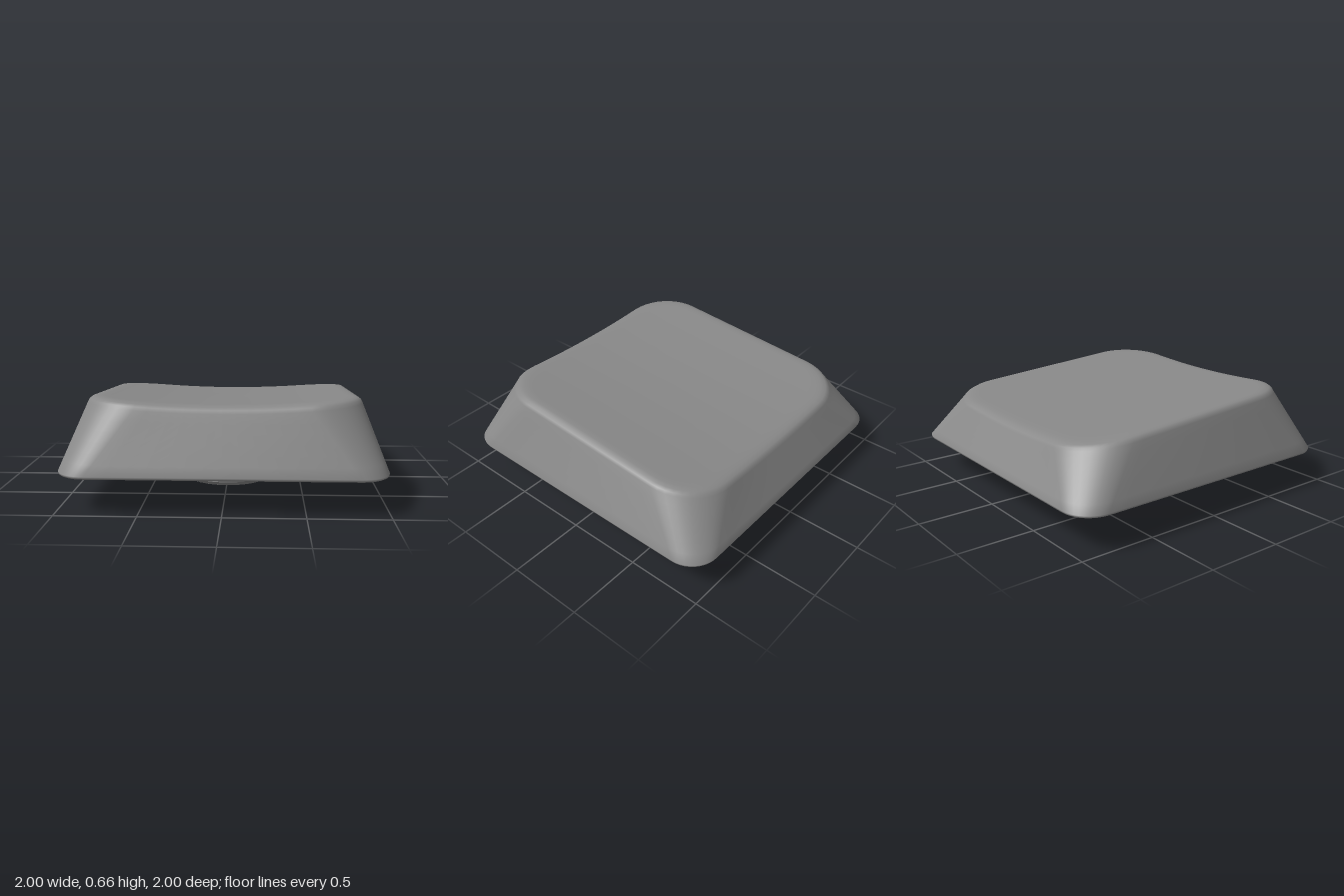
import * as THREE from 'three';

const BASE = 0.217, STEM_TOP = 0.47;
const CORNER = 10, SIDE = 14; // segments per corner and per straight side

// Sloping top with a shallow trough running front to back
const topY = (x, z) => 0.577 + 0.073 * z + 0.038 * (x / 0.75) ** 2;
// Shoulder rounding, a little tighter towards the back
const shoulderY = (drop) => (x, z) => topY(x, z) - drop * (0.87 + 0.15 * z);
// Underside of the top, parallel to its slope
const ceilingY = (x, z) => 0.44 + 0.073 * z;

// Rounded-square ring; y is a number or a function of x and z
function ring(half, r, y) {
  const pts = [], c = half - r;
  const signs = [[1, 1], [-1, 1], [-1, -1], [1, -1]];
  const add = (x, z) => pts.push(new THREE.Vector3(x, typeof y === 'function' ? y(x, z) : y, z));
  signs.forEach(([sx, sz], q) => {
    for (let i = 0; i <= CORNER; i++) {
      const a = (q + i / CORNER) * Math.PI / 2;
      add(sx * c + r * Math.cos(a), sz * c + r * Math.sin(a));
    }
    const end = pts[pts.length - 1].clone();
    const [nx, nz] = signs[(q + 1) % 4];
    const a = (q + 1) * Math.PI / 2;
    const tx = nx * c + r * Math.cos(a), tz = nz * c + r * Math.sin(a);
    for (let i = 1; i < SIDE; i++) {
      const t = i / SIDE;
      add(end.x + (tx - end.x) * t, end.z + (tz - end.z) * t);
    }
  });
  return pts;
}

// Skin over a sequence of closed rings
function loft(rings) {
  const n = rings[0].length, index = [];
  for (let j = 0; j < rings.length - 1; j++) {
    for (let i = 0; i < n; i++) {
      const a = j * n + i, b = j * n + (i + 1) % n;
      index.push(a, a + n, b, b, a + n, b + n);
    }
  }
  const geo = new THREE.BufferGeometry().setFromPoints(rings.flat());
  geo.setIndex(index);
  geo.computeVertexNormals();
  return geo;
}

export function createModel() {
  const group = new THREE.Group();
  const material = new THREE.MeshStandardMaterial({ color: 0x898989 });
  const add = (name, geo, parent = group) => {
    const mesh = new THREE.Mesh(geo, material);
    mesh.name = name;
    parent.add(mesh);
  };

  // Outer shell: rounded lip, tapering walls, rounded shoulder, dished top
  const foot = ring(1, 0.19, 0.237);
  const shoulder = ring(0.86, 0.33, shoulderY(0.05));
  const outer = [ring(0.983, 0.173, BASE), ring(0.995, 0.185, 0.223), foot];
  for (let k = 1; k <= 6; k++) {
    outer.push(foot.map((p, i) => p.clone().lerp(shoulder[i], k / 6)));
  }
  for (const [inset, drop] of [[0.01, 0.028], [0.027, 0.012], [0.055, 0.003], [0.09, 0]]) {
    outer.push(ring(0.86 - inset, 0.33 - inset * 0.5, shoulderY(drop)));
  }
  for (const s of [0.95, 0.8, 0.6, 0.4, 0.2, 0]) {
    outer.push(ring(0.77 * s, 0.285 * s, topY));
  }
  add('outerShell', loft(outer));

  // Flat lower rim and hollow inside
  add('lowerRim', loft([ring(0.9, 0.12, BASE), ring(0.983, 0.173, BASE)]));
  add('innerWalls', loft([ring(0.77, 0.12, ceilingY), ring(0.9, 0.12, BASE)]));
  add('innerCeiling', loft([ring(0, 0, ceilingY), ring(0.77, 0.12, ceilingY)]));

  // Stem: chamfered sleeve around a core with a cross-shaped socket
  const stem = new THREE.Group();
  stem.name = 'stem';
  group.add(stem);
  const v = (x, y) => new THREE.Vector2(x, y);
  add('stemChamfer', new THREE.LatheGeometry([v(0.278, 0), v(0.302, 0.025)], 64), stem);
  add('stemSleeve', new THREE.LatheGeometry([v(0.302, 0.025), v(0.302, STEM_TOP)], 64), stem);

  const L = 0.22, W = 0.065;
  const core = new THREE.Shape().absarc(0, 0, 0.278, 0, Math.PI * 2);
  core.holes.push(new THREE.Path([
    v(L, -W), v(L, W), v(W, W), v(W, L), v(-W, L), v(-W, W),
    v(-L, W), v(-L, -W), v(-W, -W), v(-W, -L), v(W, -L), v(W, -W),
  ]));
  const coreGeo = new THREE.ExtrudeGeometry(core, { depth: STEM_TOP, bevelEnabled: false, curveSegments: 64 });
  coreGeo.rotateX(-Math.PI / 2);
  add('stemCrossSocket', coreGeo, stem);

  return group;
}
